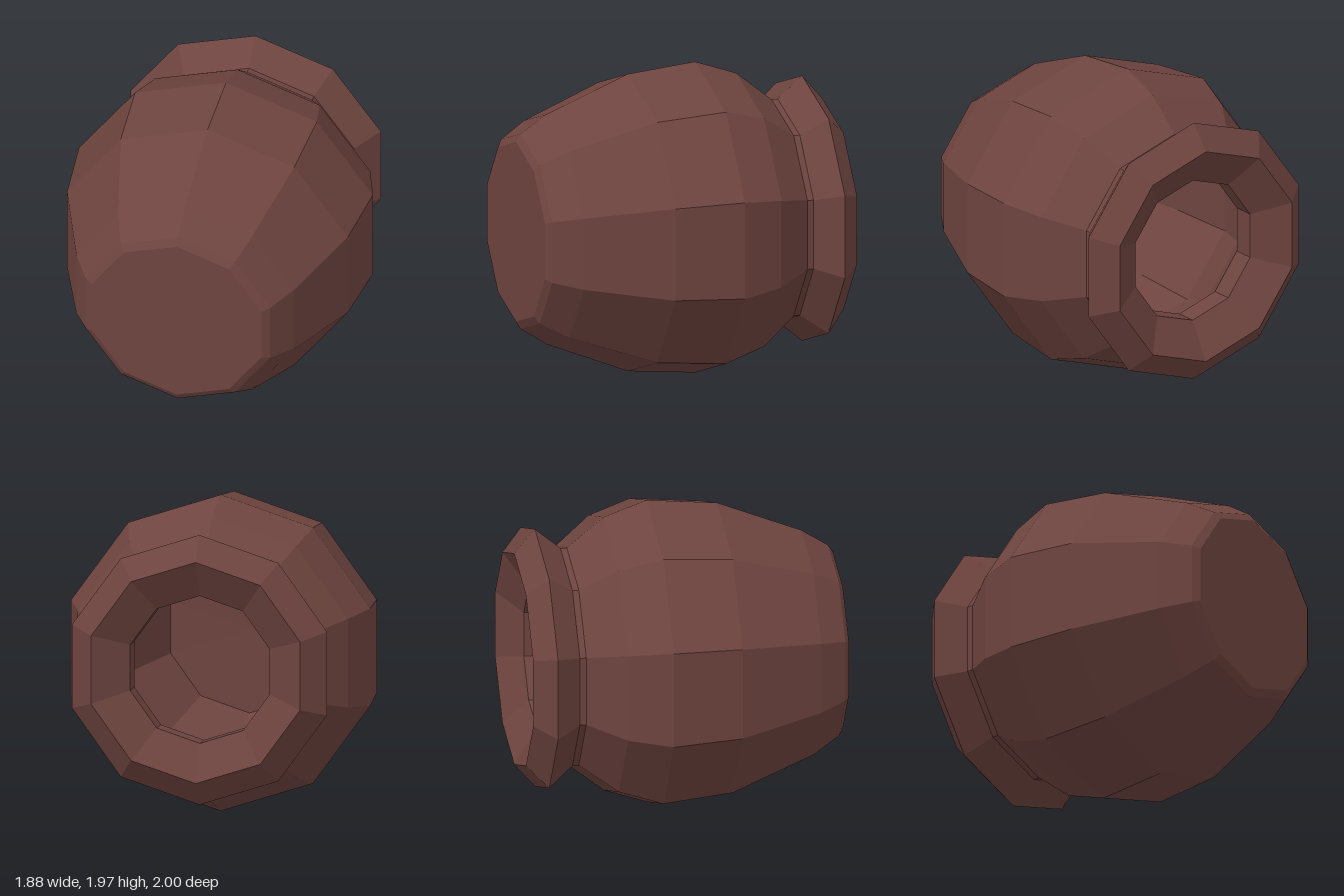
import * as THREE from 'three';

export function createModel() {
  const group = new THREE.Group();
  group.name = 'lyingPot';
  const clay = new THREE.MeshStandardMaterial({ color: 0x6e443f, flatShading: true });

  // closed profile as [radius, position along the pot's axis]:
  // inner floor -> inner wall -> neck -> lip -> outer wall -> base
  const profile = [
    [0, 0.8], [0.52, 0.78], [0.74, 0.27], [0.78, -0.17], [0.68, -0.44],  // cavity
    [0.46, -0.72], [0.46, -0.86],                                        // throat
    [0.69, -1], [0.842, -0.87],                                          // flared lip
    [0.707, -0.71], [0.707, -0.67],                                      // neck groove
    [0.893, -0.44], [0.987, -0.17], [0.943, 0.27], [0.73, 0.8],          // belly
    [0.62, 0.97], [0.57, 1], [0, 1],                                     // base
  ].map(([r, a]) => new THREE.Vector2(r, a));

  // ten-sided pot tipped over so its mouth faces the back
  const pot = new THREE.Mesh(new THREE.LatheGeometry(profile, 10), clay);
  pot.name = 'pot';
  pot.rotation.x = Math.PI / 2;
  pot.position.y = 0.99;
  group.add(pot);
  return group;
}
